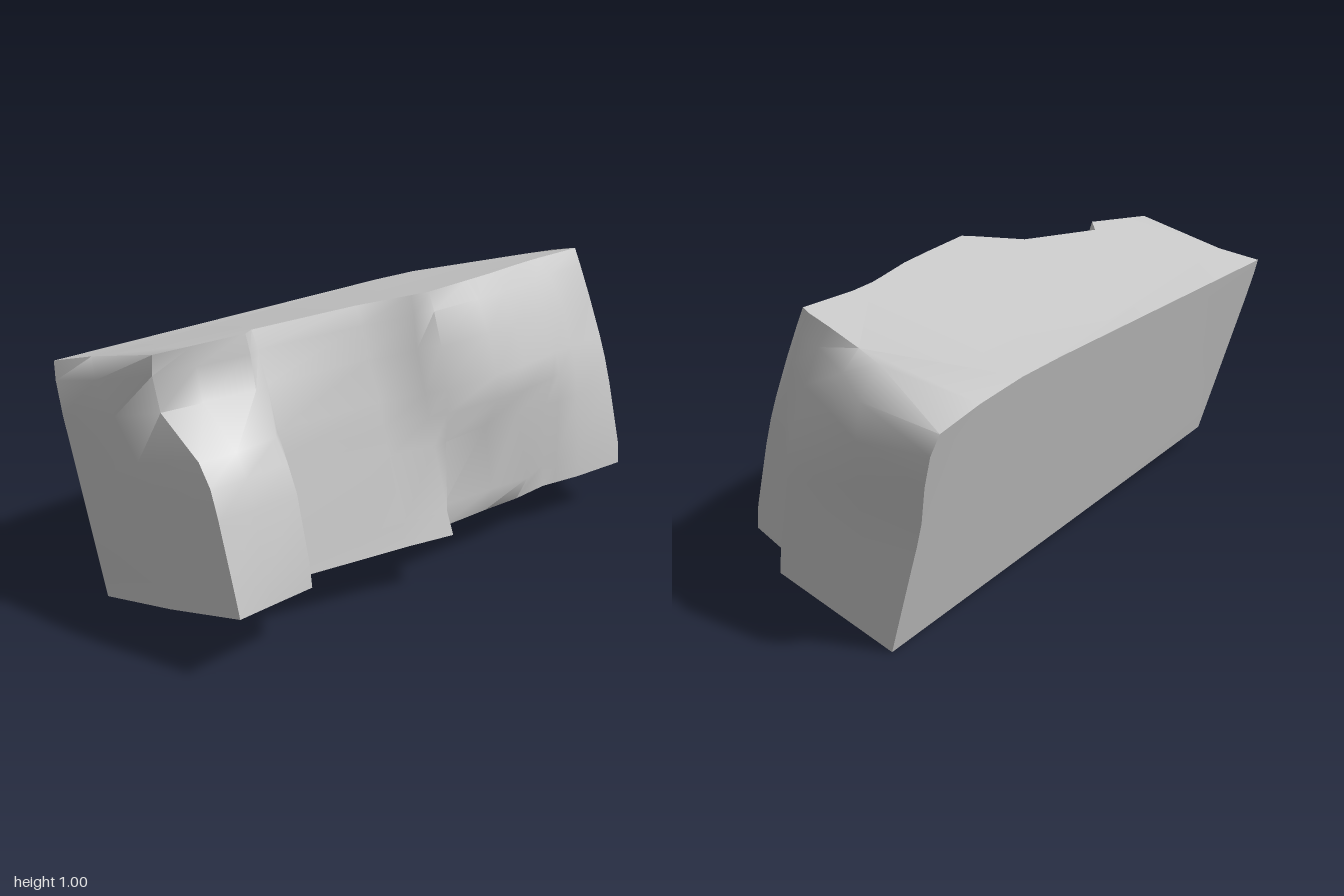
import * as THREE from 'three';
import { toCreasedNormals } from 'three/addons/utils/BufferGeometryUtils.js';

// Heights of the outline levels, as a share of the way from base to top
const LEVELS = [0, 0.1, 0.38, 0.5, 0.6, 0.78, 0.92, 1];

// The block leans back: its base and top are tilted planes,
// and the top droops towards the right back corner
const baseY = (x, z) => 0.0945 - 0.036 * x + 0.265 * z;
const topY = (x, z) => {
  const side = Math.max(0, (x - 0.45) / 0.55);
  const back = Math.max(0, -z / 0.44);
  return 0.93 - 0.01 * x + 0.27 * z - 0.055 * side * side * back;
};

// Broken front face, left to right: x, then z at each level
const FRONT = [
  [-0.92, 0.39, 0.37, 0.31, 0.28, 0.23, 0.05, 0.02, 0.03],
  [-0.80, 0.385, 0.37, 0.32, 0.29, 0.25, 0.09, 0.07, 0.06],
  [-0.64, 0.38, 0.37, 0.32, 0.28, 0.23, 0.14, 0.12, 0.10],
  [-0.58, 0.27, 0.25, 0.20, 0.18, 0.16, 0.12, 0.08, 0.05],
  [-0.23, 0.38, 0.355, 0.29, 0.26, 0.24, 0.19, 0.155, 0.13],
  [-0.08, 0.44, 0.41, 0.345, 0.32, 0.30, 0.26, 0.245, 0.23],
  [-0.03, 0.34, 0.345, 0.35, 0.355, 0.35, 0.32, 0.285, 0.26],
  [0.18, 0.35, 0.375, 0.335, 0.39, 0.378, 0.335, 0.285, 0.235],
  [0.33, 0.365, 0.41, 0.35, 0.39, 0.37, 0.32, 0.27, 0.215],
  [0.49, 0.355, 0.35, 0.345, 0.37, 0.35, 0.30, 0.24, 0.18],
  [0.54, 0.37, 0.37, 0.365, 0.36, 0.34, 0.29, 0.23, 0.17],
  [0.64, 0.40, 0.395, 0.37, 0.355, 0.33, 0.28, 0.215, 0.16],
  [0.85, 0.43, 0.42, 0.36, 0.33, 0.30, 0.24, 0.19, 0.16],
];

// Right end, front to back: x at each level, z at each level
const RIGHT = [
  [[0.87, 0.87, 0.87, 0.87, 0.875, 0.875, 0.87, 0.86], [0.27, 0.27, 0.26, 0.25, 0.24, 0.20, 0.16, 0.13]],
  [[0.95, 0.95, 0.955, 0.96, 0.95, 0.92, 0.89, 0.87], [0.23, 0.22, 0.17, 0.155, 0.14, 0.10, 0.07, 0.04]],
  [[0.95, 0.95, 0.955, 0.96, 0.97, 0.96, 0.93, 0.88], [0.08, 0.07, 0.03, 0.01, 0.00, -0.03, -0.06, -0.08]],
  [[0.95, 0.95, 0.955, 0.965, 0.98, 0.995, 0.985, 0.89], [-0.10, -0.11, -0.13, -0.14, -0.15, -0.16, -0.17, -0.17]],
];

// Flat back, right to left: x at each level
const BACK = [
  [0.95, 0.95, 0.95, 0.95, 0.955, 0.985, 0.995, 0.975],
  LEVELS.map(() => 0.8),
  LEVELS.map(() => 0.6),
  LEVELS.map(() => 0.4),
  [-1, -1, -1, -1, -1, -1, -0.995, -0.985],
];

// Left end: x at each level, z at each level
const LEFT = [
  [[-0.97, -0.97, -0.98, -0.98, -0.98, -0.985, -0.98, -0.93], [0.10, 0.09, 0.05, 0.02, 0.00, -0.10, -0.20, -0.30]],
];

function blockGeometry() {
  // One closed outline per level
  const rings = LEVELS.map((t, k) => {
    const pick = ([xs, zs]) => [xs[k], zs[k]];
    const outline = [
      ...FRONT.map((c) => [c[0], c[k + 1]]),
      ...RIGHT.map(pick),
      ...BACK.map((xs) => [xs[k], -0.22 - 0.22 * t]),
      ...LEFT.map(pick),
    ];
    return outline.map(([x, z]) =>
      new THREE.Vector3(x, THREE.MathUtils.lerp(baseY(x, z), topY(x, z), t), z));
  });

  const points = [];
  const n = rings[0].length;

  // Walls between neighbouring outlines
  for (let k = 0; k < rings.length - 1; k++) {
    for (let i = 0; i < n; i++) {
      const j = (i + 1) % n;
      const a = rings[k][i], b = rings[k][j], c = rings[k + 1][j], d = rings[k + 1][i];
      points.push(a, b, c, a, c, d);
    }
  }

  // Top and base
  const cap = (ring, up) => {
    const flat = ring.map((p) => new THREE.Vector2(p.x, -p.z));
    for (const [a, b, c] of THREE.ShapeUtils.triangulateShape(flat, [])) {
      points.push(ring[a], ring[up ? b : c], ring[up ? c : b]);
    }
  };
  cap(rings[rings.length - 1], true);
  cap(rings[0], false);

  const geometry = new THREE.BufferGeometry().setFromPoints(points);
  return toCreasedNormals(geometry, 0.9);
}

export function createModel() {
  const stone = new THREE.MeshStandardMaterial({ color: 0xc8c8c8 });
  stone.name = 'pale grey stone';

  const block = new THREE.Mesh(blockGeometry(), stone);
  block.name = 'brokenStoneBlock';

  const model = new THREE.Group();
  model.name = 'stoneBlock';
  model.add(block);
  return model;
}
